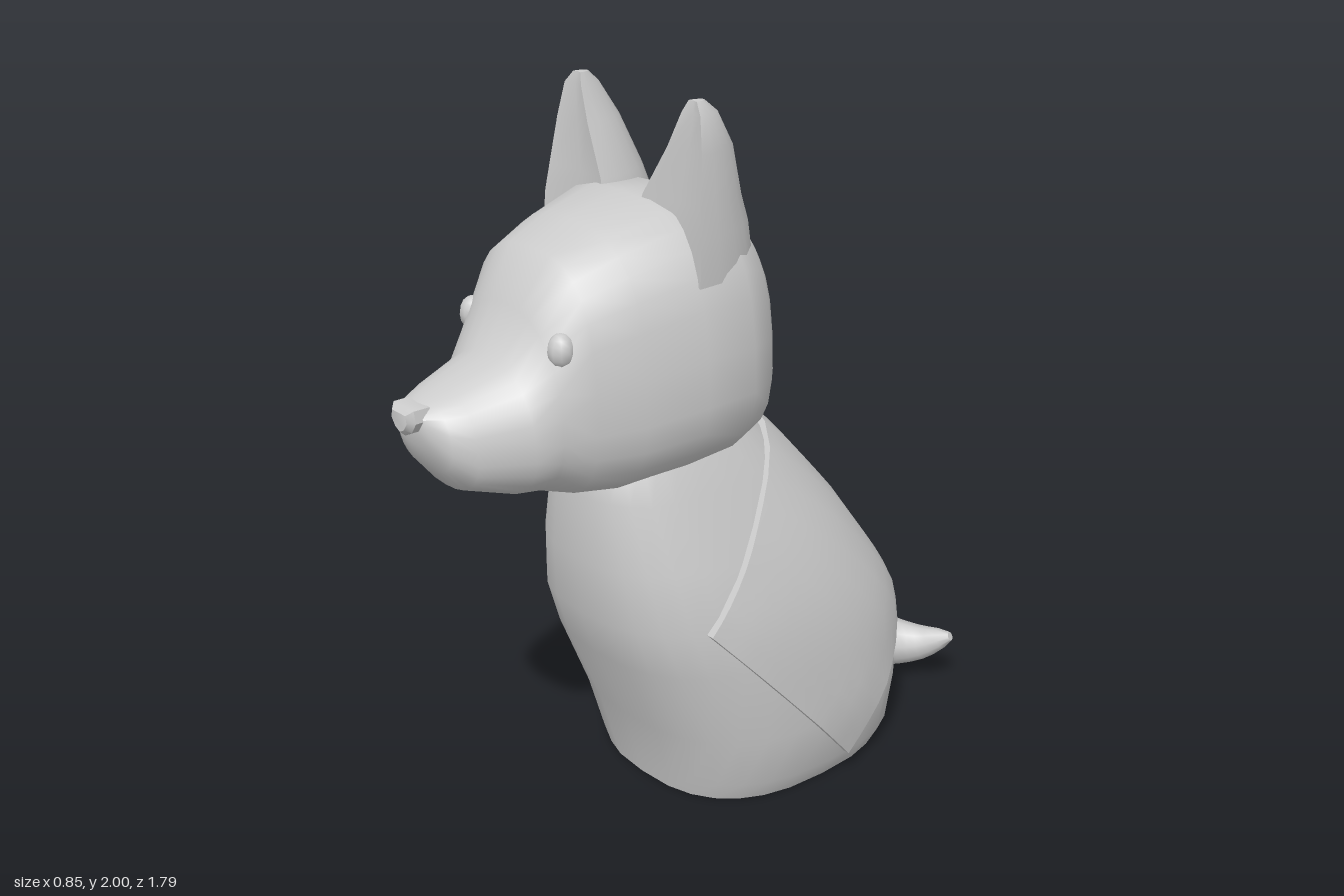
import * as THREE from 'three';
import { toCreasedNormals } from 'three/addons/utils/BufferGeometryUtils.js';

const material = new THREE.MeshStandardMaterial({ color: 0xcccccc });
const V = (x, y, z) => new THREE.Vector3(x, y, z);

// Skins a list of closed rings, with optional flat end caps
function loft(name, rings, caps = true, crease = 0.7) {
  const n = rings[0].length, index = [];
  const points = rings.flat();
  for (let i = 0; i < rings.length - 1; i++) {
    for (let j = 0; j < n; j++) {
      const k = (j + 1) % n, a = i * n + j, b = i * n + k;
      index.push(a, b, b + n, a, b + n, a + n);
    }
  }
  if (caps) {
    const centre = (r) => r.reduce((s, p) => s.add(p), V(0, 0, 0)).divideScalar(n);
    const c = points.length, last = (rings.length - 1) * n;
    points.push(centre(rings[0]), centre(rings[rings.length - 1]));
    for (let j = 0; j < n; j++) {
      const k = (j + 1) % n;
      index.push(c, k, j, c + 1, last + j, last + k);
    }
  }
  const geometry = new THREE.BufferGeometry().setFromPoints(points);
  geometry.setIndex(index);
  const mesh = new THREE.Mesh(toCreasedNormals(geometry, crease), material);
  mesh.name = name;
  return mesh;
}

const power = (v, e) => Math.sign(v) * Math.abs(v) ** e;
// Unit superellipse point at fraction f of a turn
function superPoint(f, n) {
  const t = f * Math.PI * 2;
  return [power(Math.cos(t), 2 / n), power(Math.sin(t), 2 / n)];
}
const steps = (n, fn) => Array.from({ length: n }, (_, i) => fn(i));

// Body: [height, front z, back z, half width]
const BODY = [
  [0, 0.165, -0.62, 0.35], [0.06, 0.18, -0.645, 0.38], [0.22, 0.225, -0.66, 0.405],
  [0.46, 0.33, -0.645, 0.395], [0.6, 0.375, -0.555, 0.375], [0.77, 0.39, -0.435, 0.325],
  [0.96, 0.39, -0.28, 0.25], [1.09, 0.37, -0.155, 0.2], [1.2, 0.26, -0.06, 0.13],
];
const BODY_POWER = 2.6;

function bodyAt(y) {
  const i = Math.max(1, BODY.findIndex((r) => r[0] >= y));
  const a = BODY[i - 1], b = BODY[i], f = (y - a[0]) / (b[0] - a[0]);
  return a.map((v, k) => v + (b[k] - v) * f);
}

function insideBody(p) {
  if (p.y <= 0 || p.y >= 1.2) return false;
  const [, front, back, w] = bodyAt(p.y);
  const dz = (p.z - (front + back) / 2) / ((front - back) / 2);
  return Math.abs(p.x / w) ** BODY_POWER + Math.abs(dz) ** BODY_POWER < 1;
}

function makeBody() {
  return loft('body', BODY.map(([y, front, back, w]) => steps(28, (j) => {
    const [c, s] = superPoint(j / 28, BODY_POWER);
    return V(s * w, y, (front + back) / 2 + c * (front - back) / 2);
  })));
}

// Blanket: slanted arcs cast outward from the lower hem to the body surface
function makeBlanket() {
  const arc = 24, rows = 10;
  const row = (u, thickness) => {
    const origin = V(0, 0.07, -0.28).lerp(V(0, 0.6, 0.2), u);
    const up = V(0, 0.42, -0.37).lerp(V(0, 0.49, -0.37), u).normalize();
    const outer = [], inner = [];
    for (let j = 0; j <= arc; j++) {
      const t = (j / arc) * Math.PI;
      const dir = V(Math.cos(t), 0, 0).addScaledVector(up, Math.sin(t));
      let lo = 0, hi = 1.2;
      for (let k = 0; k < 24; k++) {
        const mid = (lo + hi) / 2;
        if (insideBody(origin.clone().addScaledVector(dir, mid))) lo = mid; else hi = mid;
      }
      outer.push(origin.clone().addScaledVector(dir, lo + thickness));
      inner.unshift(origin.clone().addScaledVector(dir, lo - 0.015));
    }
    return [...outer, ...inner];
  };
  // The first and last rows close onto the inner face
  const rings = steps(rows + 1, (i) => row(i / rows, 0.02));
  return loft('blanket', [row(0, -0.015), ...rings, row(1, -0.015)], false, 0.6);
}

// Head: [z, top y, bottom y, half width], from the back of the skull to the muzzle tip
const HEAD = [
  [-0.14, 1.46, 1.18, 0.1], [-0.125, 1.57, 1.12, 0.19], [-0.09, 1.63, 1.08, 0.26],
  [-0.03, 1.695, 1.05, 0.32], [0.06, 1.735, 1.03, 0.358], [0.21, 1.745, 1.015, 0.352],
  [0.37, 1.7, 1.0, 0.305], [0.49, 1.65, 1.015, 0.262], [0.57, 1.52, 1.035, 0.23],
  [0.635, 1.4, 1.045, 0.205], [0.77, 1.355, 1.09, 0.155], [0.82, 1.335, 1.15, 0.12],
  [0.855, 1.315, 1.225, 0.07],
];

function makeHead() {
  return loft('head', HEAD.map(([z, top, bottom, w]) => steps(28, (j) => {
    const [c, s] = superPoint(j / 28, z < 0.55 ? 2.8 : 2.3);
    const taper = 1 - 0.09 * s; // jowls wider than the crown
    return V(c * w * taper, (top + bottom) / 2 + s * (top - bottom) / 2, z);
  })), true, 0.9);
}

// Ear: [height, inner x, outer x, front z, back z]; slightly hollow front, rounded back
const EAR = [
  [1.56, 0.04, 0.325, 0.215, -0.06], [1.68, 0.065, 0.318, 0.208, -0.035],
  [1.75, 0.085, 0.307, 0.2, -0.01], [1.88, 0.16, 0.29, 0.182, 0.035],
  [1.97, 0.2, 0.27, 0.17, 0.09], [2.0, 0.215, 0.245, 0.16, 0.125],
];

function makeEar(side) {
  const name = side > 0 ? 'leftEar' : 'rightEar';
  return loft(name, EAR.map(([y, x0, x1, front, back]) => {
    const mid = (x0 + x1) / 2, half = (x1 - x0) / 2;
    const ring = steps(13, (j) => {
      const t = (j / 12) * Math.PI;
      return V(side * (mid + half * Math.cos(t)), y, front - (front - back) * Math.sin(t));
    });
    ring.push(V(side * mid, y, front - 0.1 * (front - back)));
    return side > 0 ? ring.reverse().map((p) => p).reverse() : ring.reverse();
  }), true, 0.8);
}

function makeEye(side) {
  const eye = new THREE.Mesh(new THREE.SphereGeometry(1, 10, 8), material);
  eye.name = side > 0 ? 'leftEye' : 'rightEye';
  eye.scale.set(0.036, 0.046, 0.036);
  eye.position.set(side * 0.188, 1.44, 0.54);
  return eye;
}

// Nose: small block, wide at the top and narrow below
function makeNose() {
  const size = [[0.83, 1], [0.875, 1], [0.89, 0.65]];
  const outline = [[-0.03, -0.025], [0, -0.04], [0.03, -0.025], [0.052, 0.005],
    [0.045, 0.036], [-0.045, 0.036], [-0.052, 0.005]];
  return loft('nose', size.map(([z, k]) => outline.map(([x, y]) => V(x * k, 1.29 + y * k, z))));
}

// Tail: tapered tube sweeping back and to the left
function makeTail() {
  const curve = new THREE.CatmullRomCurve3([V(0, 0.16, -0.6), V(0.005, 0.155, -0.69),
    V(0.06, 0.12, -0.775), V(0.15, 0.125, -0.84), V(0.25, 0.175, -0.875)]);
  const rows = 12, sides = 10;
  const frames = curve.computeFrenetFrames(rows);
  const rings = steps(rows + 1, (i) => {
    const u = i / rows, r = 0.105 * (1 - u) ** 0.7 + 0.014;
    return steps(sides, (j) => {
      const t = (j / sides) * Math.PI * 2;
      return curve.getPointAt(u)
        .addScaledVector(frames.normals[i], Math.cos(t) * r)
        .addScaledVector(frames.binormals[i], Math.sin(t) * r);
    });
  });
  return loft('tail', rings);
}

export function createModel() {
  const model = new THREE.Group();
  model.name = 'sittingDog';
  const head = new THREE.Group();
  head.name = 'headGroup';
  head.position.x = -0.013;
  head.add(makeHead(), makeNose());
  for (const side of [1, -1]) head.add(makeEar(side), makeEye(side));
  model.add(makeBody(), makeBlanket(), head, makeTail());
  // Ear rings run the same way round as the body rings
  return model;
}
